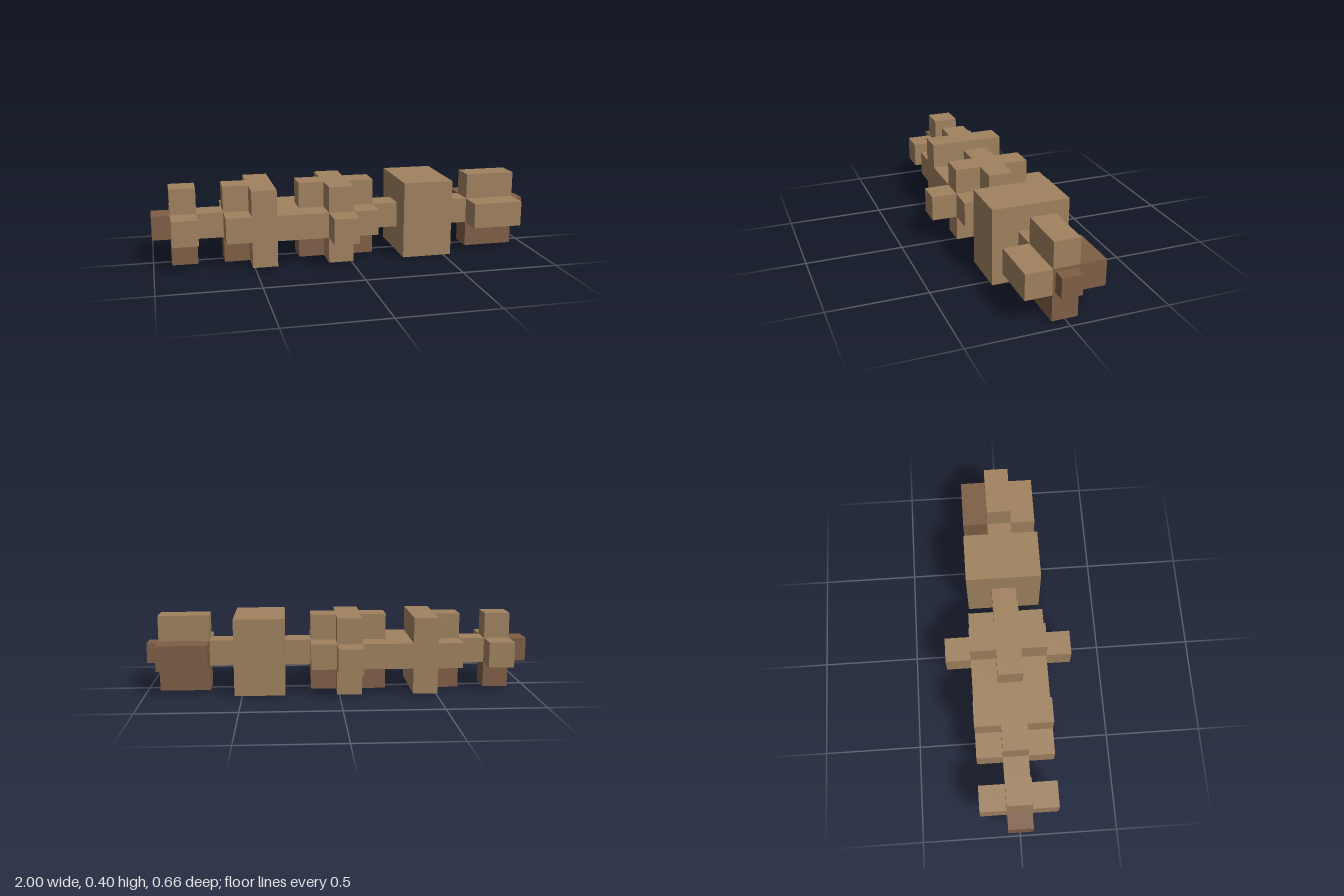
import * as THREE from 'three';

export function createModel() {
  const model = new THREE.Group();
  model.name = 'blockyBeam';
  const light = new THREE.MeshStandardMaterial({ color: 0xa0825f });
  light.name = 'light wood';
  const dark = new THREE.MeshStandardMaterial({ color: 0x7f5f46 });
  dark.name = 'dark wood';

  // Cross-section levels shared by all parts
  const Y1 = 0.133, Y2 = 0.265, TOP = 0.398;
  const IN = 0.065, OUT = 0.198, FAR = 0.33;

  // Box given by its limits on each axis
  function block(name, [x0, x1], [y0, y1], [z0, z1], material = light) {
    const mesh = new THREE.Mesh(new THREE.BoxGeometry(x1 - x0, y1 - y0, z1 - z0), material);
    mesh.position.set((x0 + x1) / 2, (y0 + y1) / 2, (z0 + z1) / 2);
    mesh.name = name;
    model.add(mesh);
  }

  // Four arms around a core, with a dark lower arm
  function cross(name, x, coreMaterial = light, backMaterial = light) {
    block(name + 'Core', x, [Y1, Y2], [-IN, IN], coreMaterial);
    block(name + 'UpperArm', x, [Y2, TOP], [-IN, IN]);
    block(name + 'LowerArm', x, [0, Y1], [-IN, IN], dark);
    block(name + 'FrontArm', x, [Y1, Y2], [IN, OUT]);
    block(name + 'BackArm', x, [Y1, Y2], [-OUT, -IN], backMaterial);
  }

  // Right end
  block('rightTip', [-1, -0.907], [0.138, 0.262], [-0.063, 0.063], dark);
  cross('rightCross', [-0.907, -0.775]);

  // Thin bars between the clusters
  for (const x of [[-0.775, -0.64], [0.145, 0.28], [0.54, 0.672]]) {
    block('connectingBar', x, [Y1, Y2], [-IN, IN]);
  }

  // Cross backed by a full slab, then a flat plate
  cross('slabCross', [-0.64, -0.51]);
  block('slab', [-0.51, -0.382], [0, TOP], [-OUT, OUT]);
  block('plate', [-0.382, -0.25], [Y1, Y2], [-OUT, OUT]);

  // Middle cluster with long side arms
  cross('middleRightCross', [-0.25, -0.117]);
  block('middleSlab', [-0.117, 0.012], [0, TOP], [-OUT, OUT]);
  for (const side of [-1, 1]) {
    const z = [side * OUT, side * FAR].sort((a, b) => a - b);
    block('middleSideArm', [-0.117, 0.012], [Y1, Y2], z);
  }
  cross('middleLeftCross', [0.012, 0.145]);

  // Large block and left end
  block('largeBlock', [0.28, 0.54], [0, TOP], [-OUT, OUT]);
  cross('leftCross', [0.672, 0.935], dark, dark);
  block('leftTip', [0.935, 1], [0.147, 0.251], [-0.052, 0.052], dark);

  return model;
}
